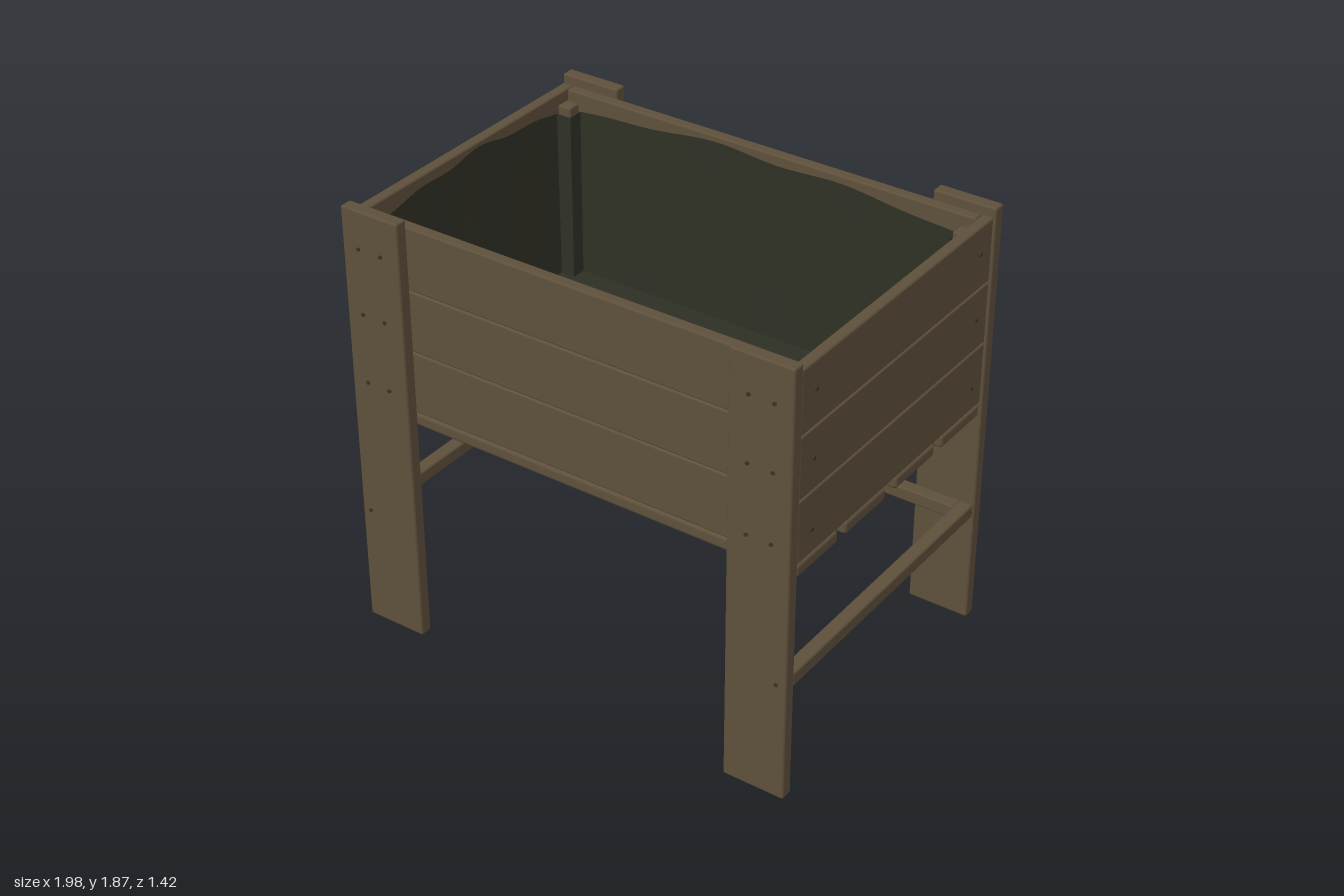
import * as THREE from 'three';
import { toCreasedNormals } from 'three/addons/utils/BufferGeometryUtils.js';
import { RoundedBoxGeometry } from 'three/addons/geometries/RoundedBoxGeometry.js';

export function createModel() {
  const group = new THREE.Group();
  const material = (name, color, side = THREE.FrontSide) =>
    Object.assign(new THREE.MeshStandardMaterial({ color, side }), { name });
  const wood = material('stained wood', 0x5d4f3b);
  const liner = material('dark liner', 0x2e2f24, THREE.DoubleSide);
  const steel = material('dark screws', 0x3a3226);

  // A softened timber given by its lower and upper corners
  function timber(name, [x0, y0, z0], [x1, y1, z1], radius = 0.009) {
    const geometry = new RoundedBoxGeometry(x1 - x0, y1 - y0, z1 - z0, 2, radius);
    const mesh = new THREE.Mesh(geometry, wood);
    mesh.position.set((x0 + x1) / 2, (y0 + y1) / 2, (z0 + z1) / 2);
    mesh.name = name;
    group.add(mesh);
  }

  // A screw head standing slightly proud along the given axis
  const screwGeometry = new THREE.CylinderGeometry(0.008, 0.008, 0.014, 8);
  const up = new THREE.Vector3(0, 1, 0);
  function screw(x, y, z, axis) {
    const mesh = new THREE.Mesh(screwGeometry, steel);
    mesh.position.set(x, y, z);
    mesh.quaternion.setFromUnitVectors(up, new THREE.Vector3(...axis));
    mesh.name = 'screw';
    group.add(mesh);
  }

  // Walls: three boards on each side, end boards covering the long ones
  const rows = [[1.03, 1.298], [1.3, 1.564], [1.566, 1.835]];
  for (const [bottom, top] of rows) {
    timber('frontBoard', [-0.935, bottom, 0.6], [0.935, top, 0.648]);
    timber('backBoard', [-0.935, bottom, -0.648], [0.935, top, -0.6]);
    timber('leftBoard', [0.937, bottom, -0.648], [0.985, top, 0.648]);
    timber('rightBoard', [-0.985, bottom, -0.648], [-0.937, top, 0.648]);
  }

  // Legs, inner corner posts and their screws
  for (const sx of [-1, 1]) {
    for (const sz of [-1, 1]) {
      const span = (a, b, s) => (s > 0 ? [a, b] : [-b, -a]);
      const [lx0, lx1] = span(0.725, 0.992, sx);
      const [lz0, lz1] = span(0.65, 0.705, sz);
      timber('leg', [lx0, 0, lz0], [lx1, 1.87, lz1]);
      const [px0, px1] = span(0.875, 0.936, sx);
      const [pz0, pz1] = span(0.538, 0.6, sz);
      timber('cornerPost', [px0, 1.03, pz0], [px1, 1.79, pz1]);
      for (const y of [1.13, 1.43, 1.71]) {
        screw(sx * 0.81, y, sz * 0.704, [0, 0, sz]);
        screw(sx * 0.915, y, sz * 0.704, [0, 0, sz]);
        screw(sx * 0.985, y + 0.01, sz * 0.56, [sx, 0, 0]);
      }
      screw(sx * 0.95, 0.525, sz * 0.704, [0, 0, sz]);
    }
    // End rail
    const x = sx * 0.957;
    timber('endRail', [x - 0.03, 0.492, -0.652], [x + 0.03, 0.552, 0.652]);
  }
  timber('backRail', [-0.93, 0.492, -0.65], [0.93, 0.552, -0.592]);

  // Floor slats running lengthwise
  for (const [z0, z1] of [[0.37, 0.648], [0.042, 0.322], [-0.31, -0.028], [-0.645, -0.36]]) {
    timber('floorSlat', [-0.985, 0.97, z0], [0.985, 1.026, z1], 0.015);
    for (const x of [-0.955, 0.955])
      for (const z of [z0 + 0.07, z1 - 0.07]) screw(x, 0.97, z, [0, -1, 0]);
  }

  // Liner: outline that steps around the corner posts
  const corners = [
    [0.934, 0.53], [0.868, 0.53], [0.868, 0.597], [-0.868, 0.597], [-0.868, 0.53], [-0.934, 0.53],
    [-0.934, -0.53], [-0.868, -0.53], [-0.868, -0.597], [0.868, -0.597], [0.868, -0.53], [0.934, -0.53],
  ];
  const outline = [];
  corners.forEach(([x, z], i) => {
    const [nx, nz] = corners[(i + 1) % corners.length];
    const length = Math.hypot(nx - x, nz - z);
    const steps = length > 0.2 ? 28 : 2;
    for (let k = 0; k < steps; k++) {
      const t = k / steps;
      const rise = steps > 2 ? Math.sin(Math.PI * t) : 0;
      const ripple = rise * Math.sin(t * 17 + i);
      outline.push({ x: x + (nx - x) * t, z: z + (nz - z) * t, top: 1.755 + 0.05 * rise + 0.012 * ripple, ripple });
    }
  });

  // Sheet walls lean inwards towards the floor, with shallow folds
  const levels = 8, floorY = 1.045, count = outline.length;
  const positions = [], index = [];
  for (let j = 0; j <= levels; j++) {
    const t = j / levels;
    for (const p of outline) {
      const lean = (1 - t) * (1 + 0.3 * p.ripple * t);
      positions.push(p.x * (1 - 0.025 * lean), floorY + (p.top - floorY) * t, p.z * (1 - 0.05 * lean));
    }
  }
  for (let j = 0; j < levels; j++) {
    for (let i = 0; i < count; i++) {
      const a = j * count + i, b = j * count + (i + 1) % count;
      index.push(a, b, a + count, b, b + count, a + count);
    }
  }
  const walls = new THREE.BufferGeometry();
  walls.setAttribute('position', new THREE.Float32BufferAttribute(positions, 3));
  walls.setIndex(index);
  const wallMesh = new THREE.Mesh(toCreasedNormals(walls, 0.7), liner);
  wallMesh.name = 'linerWalls';
  group.add(wallMesh);

  // Liner floor fills the bottom loop
  const floorShape = new THREE.Shape(corners.map(([x, z]) => new THREE.Vector2(x * 0.975, -z * 0.95)));
  const floor = new THREE.Mesh(new THREE.ShapeGeometry(floorShape).rotateX(-Math.PI / 2), liner);
  floor.position.y = floorY;
  floor.name = 'linerFloor';
  group.add(floor);

  return group;
}
